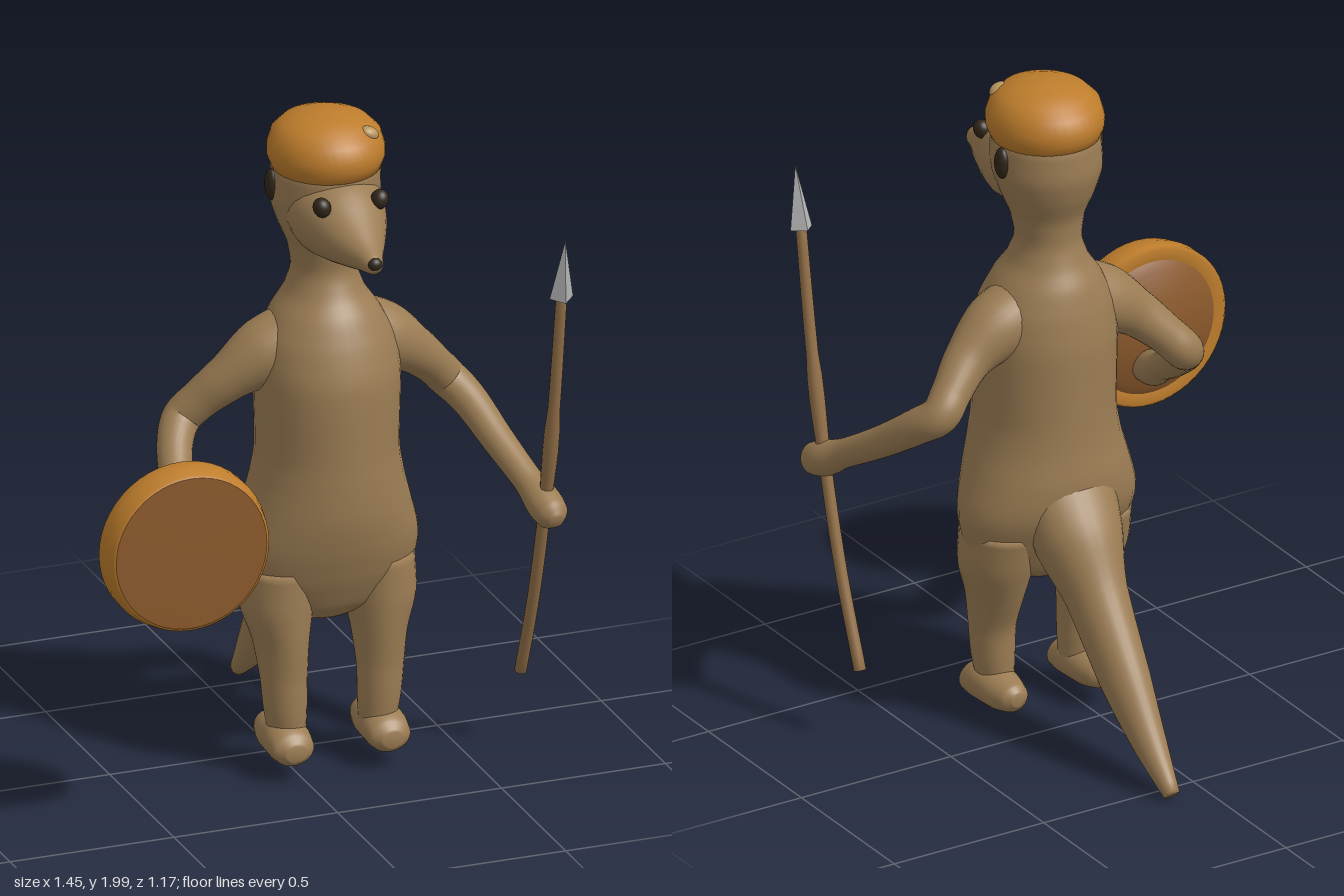
import * as THREE from 'three';

const V = (x, y, z) => new THREE.Vector3(x, y, z);
const X = V(1, 0, 0), Y = V(0, 1, 0), Z = V(0, 0, 1);

const mat = (name, color) => {
  const m = new THREE.MeshStandardMaterial({ color });
  m.name = name;
  return m;
};

// Smooth closed skin over elliptical sections [x, y, z, radiusU, radiusV].
// ref sets the direction of radiusU; axis, if given, keeps every section parallel.
function loft(sections, ref, axis, steps = 5, sides = 28) {
  const path = new THREE.CatmullRomCurve3(sections.map(s => V(s[0], s[1], s[2])));
  const radii = new THREE.CatmullRomCurve3(sections.map(s => V(s[3], s[4] ?? s[3], 0)));
  const n = (sections.length - 1) * steps, pos = [], idx = [];
  for (let i = 0; i <= n; i++) {
    const c = path.getPoint(i / n), r = radii.getPoint(i / n);
    const t = axis ?? path.getTangent(i / n);
    const v = t.clone().cross(ref).normalize(), u = v.clone().cross(t).normalize();
    for (let j = 0; j < sides; j++) {
      const a = j / sides * Math.PI * 2;
      const p = c.clone().addScaledVector(u, r.x * Math.cos(a)).addScaledVector(v, r.y * Math.sin(a));
      pos.push(p.x, p.y, p.z);
    }
  }
  for (let i = 0; i < n; i++) for (let j = 0; j < sides; j++) {
    const k = (j + 1) % sides, a = i * sides + j, b = i * sides + k;
    idx.push(a, b, b + sides, a, b + sides, a + sides);
  }
  // end caps
  const first = sections[0], last = sections[sections.length - 1], c0 = pos.length / 3;
  pos.push(first[0], first[1], first[2], last[0], last[1], last[2]);
  for (let j = 0; j < sides; j++) {
    const k = (j + 1) % sides;
    idx.push(c0, k, j, c0 + 1, n * sides + j, n * sides + k);
  }
  const g = new THREE.BufferGeometry();
  g.setAttribute('position', new THREE.Float32BufferAttribute(pos, 3));
  g.setIndex(idx);
  g.computeVertexNormals();
  return g;
}

export function createModel() {
  const fur = mat('fur', 0x9c7d54), orange = mat('orange', 0xbe7d2c), brown = mat('shieldBrown', 0x8c5a2c);
  const dark = mat('dark', 0x30261a), wood = mat('wood', 0x937048), steel = mat('steel', 0xb4b4b4);
  const button = mat('button', 0xb8945e);

  const model = new THREE.Group();
  const animal = new THREE.Group();
  animal.name = 'animal';
  animal.position.x = 0.115;
  model.add(animal);
  const add = (parent, name, geo, material) => {
    const m = new THREE.Mesh(geo, material);
    m.name = name;
    parent.add(m);
    return m;
  };
  const ball = (name, material, p, s) => {
    const m = add(animal, name, new THREE.SphereGeometry(1, 24, 16), material);
    m.position.set(...p);
    m.scale.set(...s);
    return m;
  };

  // Torso, neck and skull: [y, z centre, half width, half depth]
  const trunk = [
    [0.46, 0.11, 0.08, 0.05], [0.51, 0.11, 0.19, 0.11], [0.6, 0.11, 0.26, 0.155],
    [0.7, 0.105, 0.275, 0.195], [0.8, 0.11, 0.25, 0.213], [0.9, 0.118, 0.222, 0.212],
    [1.0, 0.12, 0.207, 0.21], [1.2, 0.12, 0.212, 0.21], [1.32, 0.112, 0.195, 0.188],
    [1.4, 0.105, 0.155, 0.16], [1.46, 0.1, 0.115, 0.125], [1.53, 0.097, 0.095, 0.103],
    [1.6, 0.1, 0.107, 0.11], [1.68, 0.1, 0.14, 0.142], [1.76, 0.105, 0.16, 0.165],
    [1.84, 0.11, 0.155, 0.165], [1.92, 0.11, 0.09, 0.1],
  ];
  add(animal, 'body', loft(trunk.map(([y, z, w, d]) => [0, y, z, w, d]), X, Y, 4, 36), fur);

  // Pointed snout
  add(animal, 'snout', loft([
    [0, 1.73, 0.1, 0.13, 0.11], [0, 1.722, 0.2, 0.142, 0.13], [0, 1.713, 0.29, 0.118, 0.112],
    [0, 1.692, 0.38, 0.078, 0.072], [0, 1.677, 0.45, 0.043, 0.042], [0, 1.67, 0.495, 0.026, 0.026],
    [0, 1.67, 0.508, 0.012, 0.012],
  ], X, Z), fur);
  ball('nose', dark, [0, 1.675, 0.497], [0.022, 0.02, 0.018]);

  // Tail
  add(animal, 'tail', loft([
    [0, 0.8, 0.02, 0.15, 0.1], [0, 0.64, -0.06, 0.135, 0.125], [0, 0.49, -0.165, 0.09, 0.1],
    [0, 0.28, -0.325, 0.07, 0.083], [0, 0.13, -0.46, 0.047, 0.052], [0, 0.025, -0.57, 0.024, 0.025],
  ], X), fur);

  for (const s of [1, -1]) {
    const side = s > 0 ? 'left' : 'right';

    // Leg and foot
    add(animal, side + 'Leg', loft([
      [s * 0.135, 0.1, 0.16, 0.05, 0.055], [s * 0.143, 0.2, 0.162, 0.062, 0.066],
      [s * 0.147, 0.3, 0.16, 0.068, 0.072], [s * 0.15, 0.41, 0.143, 0.08, 0.1],
      [s * 0.157, 0.52, 0.125, 0.105, 0.125], [s * 0.15, 0.64, 0.11, 0.11, 0.14],
    ], X, Y), fur);
    add(animal, side + 'Foot', loft([
      [s * 0.147, 0.115, 0.018, 0.02, 0.02], [s * 0.147, 0.112, 0.04, 0.045, 0.042],
      [s * 0.147, 0.112, 0.1, 0.062, 0.057], [s * 0.147, 0.115, 0.18, 0.068, 0.064],
      [s * 0.147, 0.105, 0.24, 0.062, 0.05], [s * 0.147, 0.1, 0.267, 0.03, 0.025],
    ], X, Z), fur);

    // Arm, bent forward at the elbow, ending in a small fist
    add(animal, side + 'Arm', loft([
      [s * 0.08, 1.31, 0.095, 0.11], [s * 0.18, 1.275, 0.09, 0.1], [s * 0.28, 1.21, 0.075, 0.07],
      [s * 0.36, 1.135, 0.04, 0.058], [s * 0.405, 1.085, 0.025, 0.057], [s * 0.445, 1.04, 0.075, 0.053],
      [s * 0.49, 0.95, 0.2, 0.047], [s * 0.53, 0.87, 0.33, 0.043], [s * 0.55, 0.825, 0.41, 0.053],
      [s * 0.557, 0.805, 0.46, 0.047], [s * 0.56, 0.795, 0.488, 0.02],
    ], Z), fur);

    ball(side + 'Eye', dark, [s * 0.088, 1.79, 0.308], [0.026, 0.03, 0.027]).rotation.z = -s * 0.35;
    ball(side + 'Ear', dark, [s * 0.156, 1.79, 0.092], [0.021, 0.048, 0.028]);
  }

  // Cap with a button
  const capProfile = [[0, 1.82], [0.125, 1.82], [0.155, 1.838], [0.167, 1.87], [0.168, 1.9],
    [0.156, 1.942], [0.125, 1.973], [0.08, 1.991], [0.035, 1.999], [0, 2]];
  const cap = add(animal, 'cap', new THREE.LatheGeometry(capProfile.map(p => new THREE.Vector2(...p)), 40), orange);
  cap.position.z = 0.113;
  cap.scale.z = 1.06;
  ball('capButton', button, [0.092, 1.955, 0.213], [0.03, 0.021, 0.024]).rotation.z = -0.4;

  // Round shield, its axis turned to face forward
  const shield = new THREE.Group();
  shield.name = 'shield';
  shield.position.set(-0.478, 0.908, 0);
  shield.rotation.x = Math.PI / 2;
  model.add(shield);
  const turned = (name, pts, material) =>
    add(shield, name, new THREE.LatheGeometry(pts.map(p => new THREE.Vector2(...p)), 48), material);
  turned('shieldRim', [[0.205, 0.49], [0.238, 0.484], [0.249, 0.495], [0.249, 0.535], [0.238, 0.578], [0.23, 0.582]], orange);
  turned('shieldFace', [[0.232, 0.581], [0.12, 0.584], [0, 0.586]], brown);
  turned('shieldBack', [[0, 0.435], [0.1, 0.447], [0.18, 0.474], [0.21, 0.492]], brown);

  // Spear with a slightly bowed shaft and a four-sided point
  const spear = new THREE.Group();
  spear.name = 'spear';
  spear.position.x = 0.67;
  model.add(spear);
  add(spear, 'spearShaft', loft([
    [0, 0.235, 0.215, 0.018], [0, 0.5, 0.315, 0.018], [0, 0.8, 0.4, 0.018],
    [0, 1.13, 0.472, 0.018], [0, 1.52, 0.535, 0.016],
  ], X, null, 5, 14), wood);
  const tipGeo = new THREE.ConeGeometry(0.036, 0.19, 4).toNonIndexed();
  tipGeo.computeVertexNormals();
  const tip = add(spear, 'spearPoint', tipGeo, steel);
  tip.position.set(0, 1.597, 0.548);
  tip.rotation.x = 0.17;

  return model;
}
